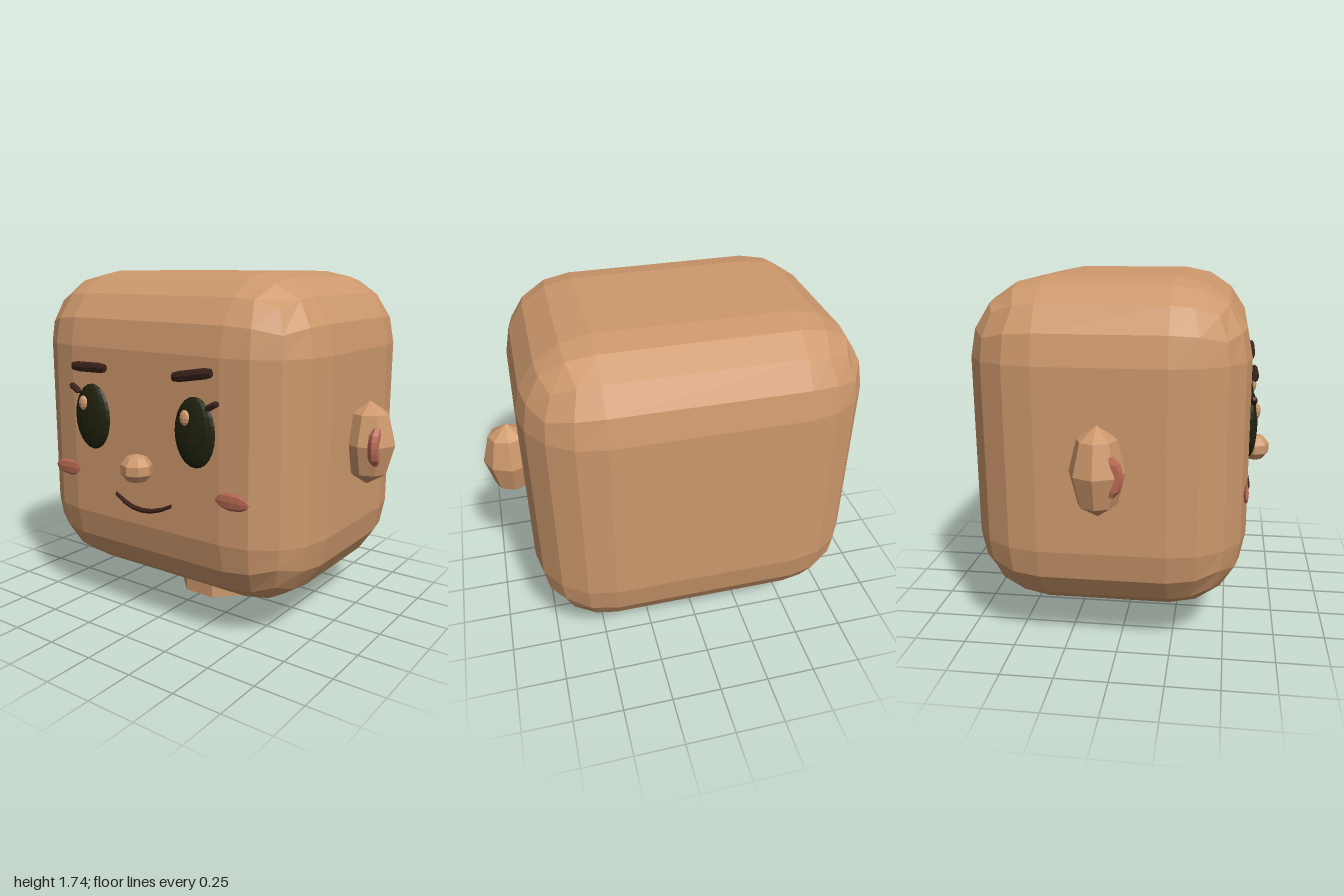
import * as THREE from 'three';

function material(name, color) {
  const m = new THREE.MeshStandardMaterial({ color, flatShading: true });
  m.name = name;
  return m;
}

// Box with rounded edges: four equal angular steps around every edge
function roundedBlock(hx, hy, hz, r) {
  const g = new THREE.BoxGeometry(2, 2, 2, 5, 5, 5);
  const p = g.attributes.position;
  const steps = [0, Math.tan(Math.PI / 8), 1];
  const half = [hx - r, hy - r, hz - r];
  for (let i = 0; i < p.count; i++) {
    const v = [p.getX(i), p.getY(i), p.getZ(i)];
    const dir = new THREE.Vector3(
      ...v.map((c) => Math.sign(c) * steps[Math.round((Math.abs(c) - 0.2) / 0.4)])
    ).normalize().multiplyScalar(r);
    p.setXYZ(i, dir.x + Math.sign(v[0]) * half[0],
      dir.y + Math.sign(v[1]) * half[1], dir.z + Math.sign(v[2]) * half[2]);
  }
  g.computeVertexNormals();
  return g;
}

// Closed rod along x, curved by a parabola: ends rise by liftY and liftZ
function bentRod(length, r, sides, liftY = 0, liftZ = 0, taper = 0.6) {
  const g = new THREE.CylinderGeometry(r, r, length, sides, 6).rotateZ(Math.PI / 2);
  const p = g.attributes.position;
  for (let i = 0; i < p.count; i++) {
    const t = p.getX(i) / (length / 2);
    const s = Math.abs(t) > 0.99 ? taper : 1;
    p.setXYZ(i, p.getX(i), p.getY(i) * s + liftY * t * t, p.getZ(i) * s + liftZ * t * t);
  }
  g.computeVertexNormals();
  return g;
}

export function createModel() {
  const model = new THREE.Group();
  model.name = 'blockHead';
  const skin = material('skin', 0xcd986c);
  const eyeDark = material('eyeDark', 0x1f210d);
  const hair = material('darkBrown', 0x3a211a);
  const blush = material('blush', 0xba6a53);

  const add = (name, geometry, mat, x, y, z) => {
    const mesh = new THREE.Mesh(geometry, mat);
    mesh.name = name;
    mesh.position.set(x, y, z);
    model.add(mesh);
    return mesh;
  };
  const ball = (rx, ry, rz, w, h) => new THREE.SphereGeometry(1, w, h).scale(rx, ry, rz);

  // Head and neck
  add('head', roundedBlock(0.812, 0.787, 0.655, 0.36), skin, 0, 0.953, -0.06);
  add('neck', new THREE.CylinderGeometry(0.227, 0.227, 0.3, 8).rotateY(Math.PI / 8),
    skin, 0, 0.15, -0.06);

  // Nose and mouth
  add('nose', ball(0.085, 0.072, 0.078, 8, 5), skin, 0, 0.826, 0.638);
  add('mouth', bentRod(0.35, 0.012, 6, 0.05, -0.015, 0.9), hair, 0, 0.61, 0.61);

  for (const s of [1, -1]) {
    const side = s > 0 ? 'left' : 'right';

    // Ear with a curved inner fold
    add(side + 'Ear', ball(0.135, 0.205, 0.125, 8, 4), skin, s * 0.865, 0.94, -0.06);
    add(side + 'EarFold', bentRod(0.18, 0.027, 6, 0, -0.028).rotateZ(Math.PI / 2),
      blush, s * 0.933, 0.94, 0.036);

    // Eye, glint and lash
    add(side + 'Eye', ball(0.113, 0.165, 0.038, 16, 12), eyeDark, s * 0.318, 1.035, 0.597);
    add(side + 'EyeGlint', ball(0.028, 0.037, 0.017, 8, 6), skin,
      s * 0.318 - 0.032, 1.105, 0.629);
    add(side + 'Lash', bentRod(0.07, 0.016, 6), hair, s * 0.423, 1.17, 0.61)
      .rotation.z = s * 0.5;

    // Cheek, pointed at both ends
    add(side + 'Cheek', ball(0.043, 0.1, 0.013, 8, 6).rotateZ(Math.PI / 2),
      blush, s * 0.508, 0.743, 0.588);
  }

  // Eyebrows, the left one raised
  const brow = bentRod(0.215, 0.025, 8, 0, 0, 0.8).scale(1, 1, 0.75);
  add('leftBrow', brow, hair, 0.313, 1.298, 0.611).rotation.z = 0.17;
  add('rightBrow', brow, hair, -0.322, 1.283, 0.611).rotation.z = 0.02;

  return model;
}
